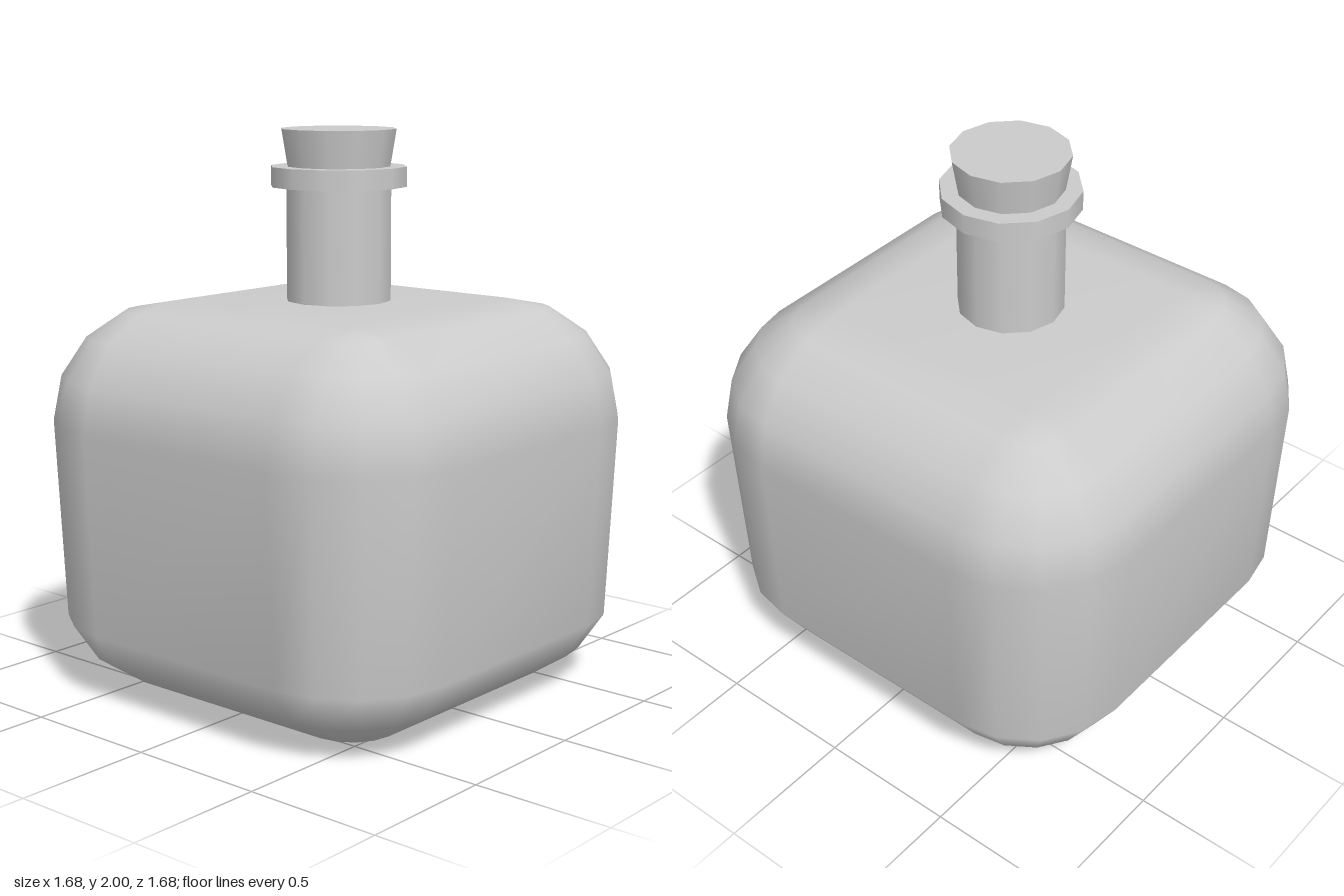
import * as THREE from 'three';
import { mergeVertices } from 'three/addons/utils/BufferGeometryUtils.js';

const R = 0.42;   // corner radius, also half the width of the flat faces
const STEPS = 4;  // segments per rounded quarter

// Square body with round corners: stacked rounded-square rings, capped by flat squares
function bodyGeometry() {
  const profile = []; // [corner radius, height]
  for (let i = 0; i < STEPS; i++) {
    const a = (i / STEPS) * Math.PI / 2;
    profile.push([R * Math.sin(a), R - R * Math.cos(a)]);
  }
  for (let i = 0; i <= STEPS; i++) {
    const a = (i / STEPS) * Math.PI / 2;
    profile.push([R * Math.cos(a), 0.98 + R * Math.sin(a)]);
  }
  profile[profile.length - 1][0] = 0;

  const positions = [], index = [];
  const n = 4 * (STEPS + 1);
  for (const [r, y] of profile) {
    for (let c = 0; c < 4; c++) {
      const mid = (c + 0.5) * Math.PI / 2;
      const cx = R * Math.sign(Math.cos(mid)), cz = R * Math.sign(Math.sin(mid));
      for (let k = 0; k <= STEPS; k++) {
        const a = (c + k / STEPS) * Math.PI / 2;
        positions.push(cx + r * Math.cos(a), y, cz + r * Math.sin(a));
      }
    }
  }
  for (let j = 0; j < profile.length - 1; j++) {
    for (let i = 0; i < n; i++) {
      const l0 = j * n + i, l1 = j * n + (i + 1) % n;
      index.push(l0, l0 + n, l1, l0 + n, l1 + n, l1);
    }
  }
  // Flat bottom and top
  const s = STEPS + 1, t = (profile.length - 1) * n;
  index.push(0, s, 2 * s, 0, 2 * s, 3 * s);
  index.push(t, t + 2 * s, t + s, t, t + 3 * s, t + 2 * s);

  const raw = new THREE.BufferGeometry();
  raw.setAttribute('position', new THREE.Float32BufferAttribute(positions, 3));
  raw.setIndex(index);
  const geometry = mergeVertices(raw);
  geometry.computeVertexNormals();
  return geometry;
}

export function createModel() {
  const group = new THREE.Group();
  group.name = 'bottle';
  const material = new THREE.MeshStandardMaterial({ color: 0xcccccc });

  const add = (name, geometry, y = 0) => {
    const mesh = new THREE.Mesh(geometry, material);
    mesh.name = name;
    mesh.position.y = y;
    group.add(mesh);
  };
  // Twelve-sided round part between two heights
  const round = (name, bottomRadius, topRadius, y0, y1) =>
    add(name, new THREE.CylinderGeometry(topRadius, bottomRadius, y1 - y0, 12), (y0 + y1) / 2);

  add('body', bodyGeometry());
  round('neck', 0.187, 0.187, 1.38, 1.82);
  round('collar', 0.242, 0.242, 1.8, 1.87);
  round('stopper', 0.18, 0.205, 1.85, 2);

  return group;
}
